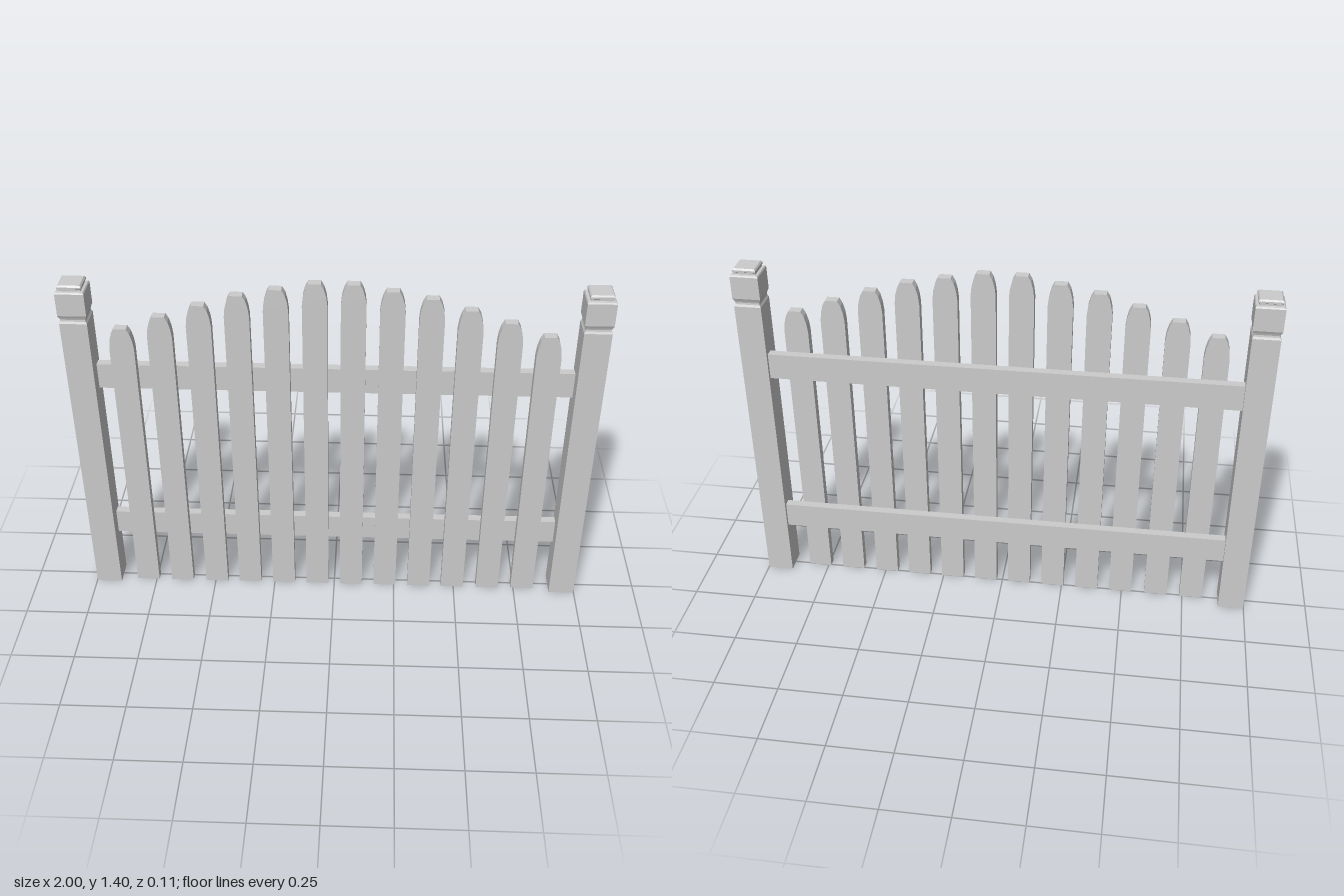
import * as THREE from 'three';

const material = new THREE.MeshStandardMaterial({ color: 0xcccccc, flatShading: true });

function addMesh(parent, name, geometry, x = 0, y = 0, z = 0) {
  const mesh = new THREE.Mesh(geometry, material);
  mesh.name = name;
  mesh.position.set(x, y, z);
  parent.add(mesh);
  return mesh;
}

// Square post turned from a profile of [half width, height]
function postGeometry() {
  const profile = [
    [0, 0], [0.051, 0], [0.051, 1.235], [0.047, 1.243], [0.046, 1.25], [0.048, 1.257],
    [0.053, 1.268], [0.053, 1.356], [0.050, 1.361], [0.041, 1.363], [0.041, 1.370],
    [0.044, 1.372], [0.044, 1.379], [0.039, 1.385], [0, 1.385],
  ].map(([r, y]) => new THREE.Vector2(r * Math.SQRT2, y));
  return new THREE.LatheGeometry(profile, 4, Math.PI / 4);
}

// Board with a faceted rounded top
function picketGeometry(height) {
  const half = [[0.046, 0], [0.046, height - 0.085], [0.042, height - 0.05],
    [0.034, height - 0.02], [0.023, height]];
  const outline = [...half, ...half.map(([x, y]) => [-x, y]).reverse()];
  const shape = new THREE.Shape(outline.map(([x, y]) => new THREE.Vector2(x, y)));
  return new THREE.ExtrudeGeometry(shape, { depth: 0.035, bevelEnabled: false });
}

export function createModel() {
  const fence = new THREE.Group();
  fence.name = 'picketFence';

  // Posts
  const post = postGeometry();
  addMesh(fence, 'leftPost', post, 0.947);
  addMesh(fence, 'rightPost', post, -0.947);

  // Rails behind the pickets
  const rail = new THREE.BoxGeometry(1.8, 0.103, 0.033);
  addMesh(fence, 'lowerRail', rail, 0, 0.277, -0.021);
  addMesh(fence, 'upperRail', rail, 0, 0.981, -0.021);

  // Pickets rising toward the middle, mirrored about the centre: [x, height]
  const pickets = [[0.07, 1.402], [0.211, 1.377], [0.353, 1.35],
    [0.494, 1.307], [0.64, 1.258], [0.785, 1.205]];
  for (const [x, height] of pickets) {
    const geometry = picketGeometry(height);
    addMesh(fence, 'leftPicket', geometry, x, 0, -0.0045);
    addMesh(fence, 'rightPicket', geometry, -x, 0, -0.0045);
  }
  return fence;
}
